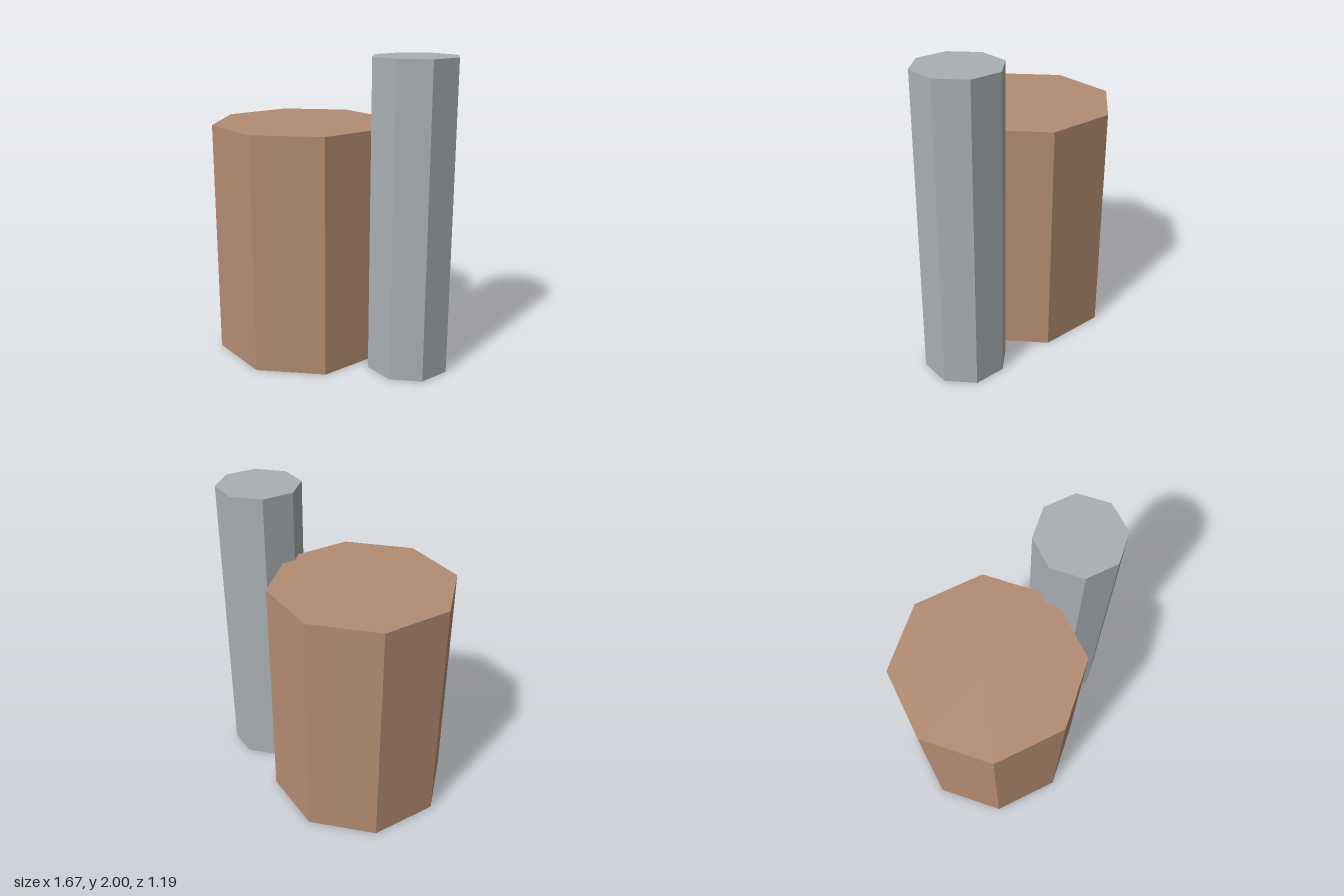
import * as THREE from 'three';

export function createModel() {
  const group = new THREE.Group();
  const clay = new THREE.MeshStandardMaterial({ color: 0xb48c72, flatShading: true });
  const steel = new THREE.MeshStandardMaterial({ color: 0xaaafb2, flatShading: true });
  clay.name = 'clay brown';
  steel.name = 'steel grey';

  // Upright eight-sided column standing on the ground, with a corner facing front
  function column(name, radius, height, x, material) {
    const mesh = new THREE.Mesh(new THREE.CylinderGeometry(radius, radius, height, 8), material);
    mesh.name = name;
    mesh.position.set(x, height / 2, 0);
    group.add(mesh);
  }

  column('wideTank', 0.594, 1.545, -0.241, clay);
  column('tallPipe', 0.273, 2, 0.559, steel);
  return group;
}
